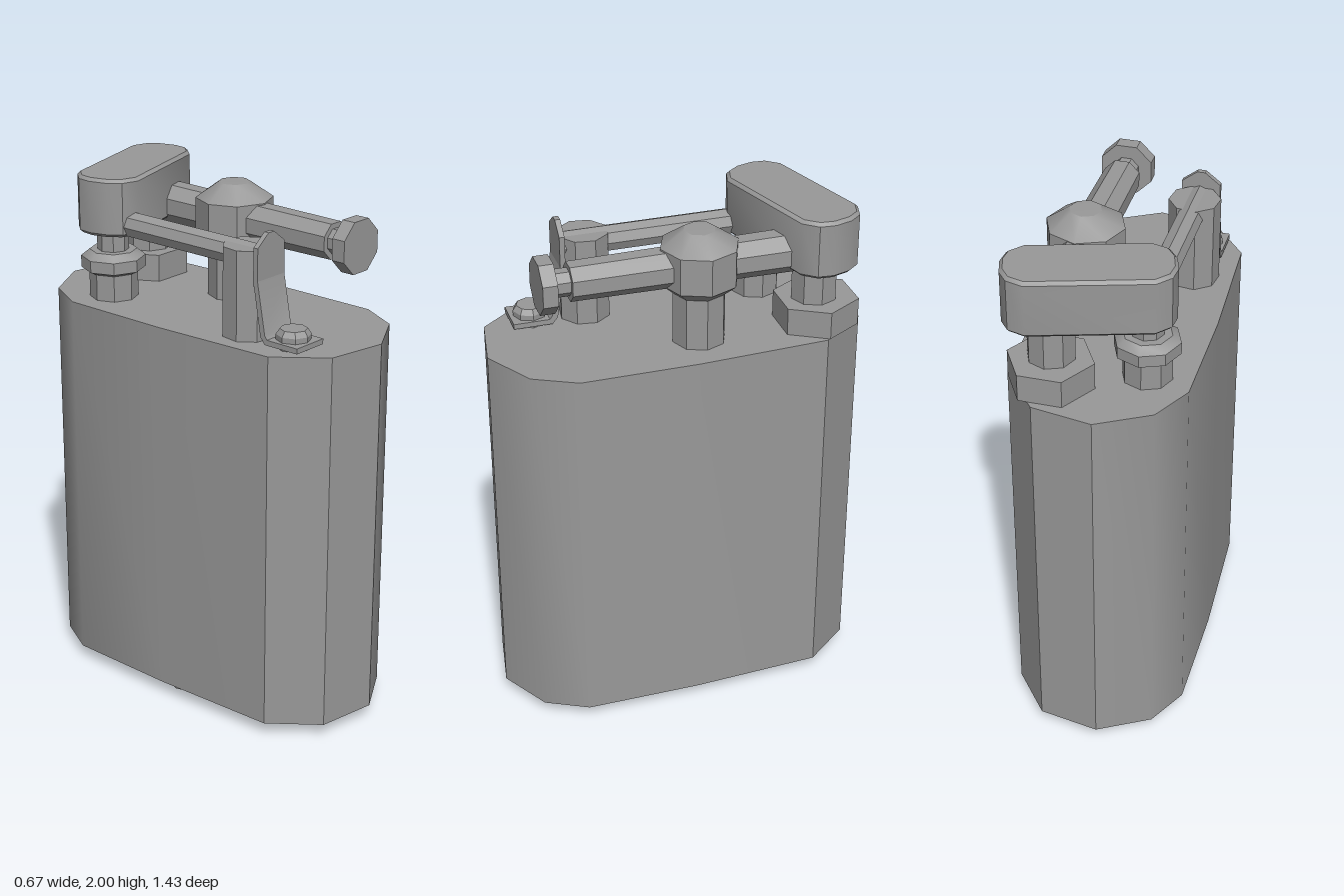
import * as THREE from 'three';
import { toCreasedNormals } from 'three/addons/utils/BufferGeometryUtils.js';

const steel = new THREE.MeshStandardMaterial({ color: 0x999999 });
steel.name = 'steel grey';

export function createModel() {
  const model = new THREE.Group();
  model.name = 'pocketLighter';

  const add = (name, geometry, x = 0, y = 0, z = 0) => {
    const mesh = new THREE.Mesh(toCreasedNormals(geometry, 0.6), steel);
    mesh.name = name;
    mesh.position.set(x, y, z);
    model.add(mesh);
    return mesh;
  };
  const outline = (points) => new THREE.Shape(points.map((p) => new THREE.Vector2(...p)));
  const extrude = (points, depth, bevel = 0) => new THREE.ExtrudeGeometry(outline(points), {
    depth: depth - 2 * bevel, bevelEnabled: bevel > 0, bevelThickness: bevel,
    bevelSize: bevel, bevelOffset: -bevel, bevelSegments: 1,
  }).translate(0, 0, bevel);
  // Upright prism from an outline in x and z
  const prism = (points, height, bevel) =>
    extrude(points.map(([x, z]) => [x, -z]), height, bevel).rotateX(-Math.PI / 2);
  // Upright faceted post between two heights
  const post = (name, x, z, y0, y1, r, sides = 8, turn = 0) =>
    add(name, new THREE.CylinderGeometry(r, r, y1 - y0, sides).rotateY(turn), x, (y0 + y1) / 2, z);
  // Faceted rod lying along z
  const rod = (name, x, y, z0, z1, rBack, rFront, turn = 0) =>
    add(name, new THREE.CylinderGeometry(rFront, rBack, z1 - z0, 8).rotateY(turn).rotateX(Math.PI / 2),
      x, y, (z0 + z1) / 2);
  const lathe = (profile) => new THREE.LatheGeometry(profile.map((p) => new THREE.Vector2(...p)), 8);

  // Fuel tank and filler plug beneath it
  const half = [[0.06, 0.715], [-0.17, 0.675], [-0.31, 0.5], [-0.335, 0], [-0.335, -0.445], [-0.253, -0.605]];
  add('tank', prism([...half, ...half.map(([x, z]) => [-x, -z])], 1.47), 0, 0.055, 0);
  post('fillerPlug', 0, 0.01, 0, 0.06, 0.27);

  // Slanted rounded snuffer cap
  const end = [[0.222, 0.127], [0.28, 0.09], [0.302, 0.035], [0.302, -0.035], [0.28, -0.09], [0.222, -0.127]];
  const cap = add('snufferCap', prism([...end, ...end.map(([x, z]) => [-x, -z])], 0.22, 0.012), 0.02, 1.78, -0.45);
  cap.rotation.y = 0.298;

  // Wick tube with its hexagonal nut
  post('wickNut', 0.145, -0.51, 1.525, 1.63, 0.16, 6, Math.PI / 6);
  post('wickTube', 0.145, -0.5, 1.6, 1.85, 0.088);

  // Flanged pivot under the other end of the cap
  add('pivot', lathe([
    [0, 1.52], [0.092, 1.52], [0.092, 1.625], [0.122, 1.64], [0.122, 1.685],
    [0.09, 1.71], [0.06, 1.71], [0.06, 1.82], [0, 1.82],
  ]), -0.17, 0, -0.385);

  // Snuffer arm and its front post
  rod('snufferArm', -0.168, 1.82, -0.4, 0.372, 0.05, 0.05);
  post('frontPost', -0.17, 0.29, 1.52, 1.86, 0.097, 8, 0.25);

  // Flint tube on its post, closed by a domed wheel housing
  post('wheelPost', 0.147, -0.055, 1.52, 1.76, 0.1);
  add('wheelHousing', lathe([
    [0, 1.72], [0.095, 1.72], [0.147, 1.765], [0.147, 1.905], [0.06, 1.965], [0, 1.967],
  ]), 0.147, 0, -0.055);
  const flat = Math.PI / 8;
  rod('flintTube', 0.147, 1.83, -0.42, 0.43, 0.08, 0.072, flat);
  rod('flintScrewNeck', 0.147, 1.83, 0.42, 0.5, 0.051, 0.051, flat);
  rod('flintScrewHead', 0.147, 1.83, 0.49, 0.545, 0.105, 0.105, flat);

  // Bent leaf spring: pointed tab, sloping leg and foot
  const w = 0.073;
  add('springTab', extrude([[-w, 1.74], [w, 1.74], [w, 1.88], [0.015, 1.925], [-0.015, 1.925], [-w, 1.88]], 0.02),
    -0.172, 0, 0.375);
  add('springLeg', extrude([
    [0.375, 1.76], [0.41, 1.56], [0.43, 1.535], [0.577, 1.535], [0.577, 1.555], [0.44, 1.555], [0.43, 1.57], [0.395, 1.76],
  ], 2 * w).rotateY(-Math.PI / 2), -0.172 + w, 0, 0);

  // Screw holding the spring foot
  add('springScrew', lathe([[0, 1.52], [0.062, 1.52], [0.064, 1.575], [0.05, 1.595], [0, 1.595]]), -0.17, 0, 0.5);

  return model;
}
